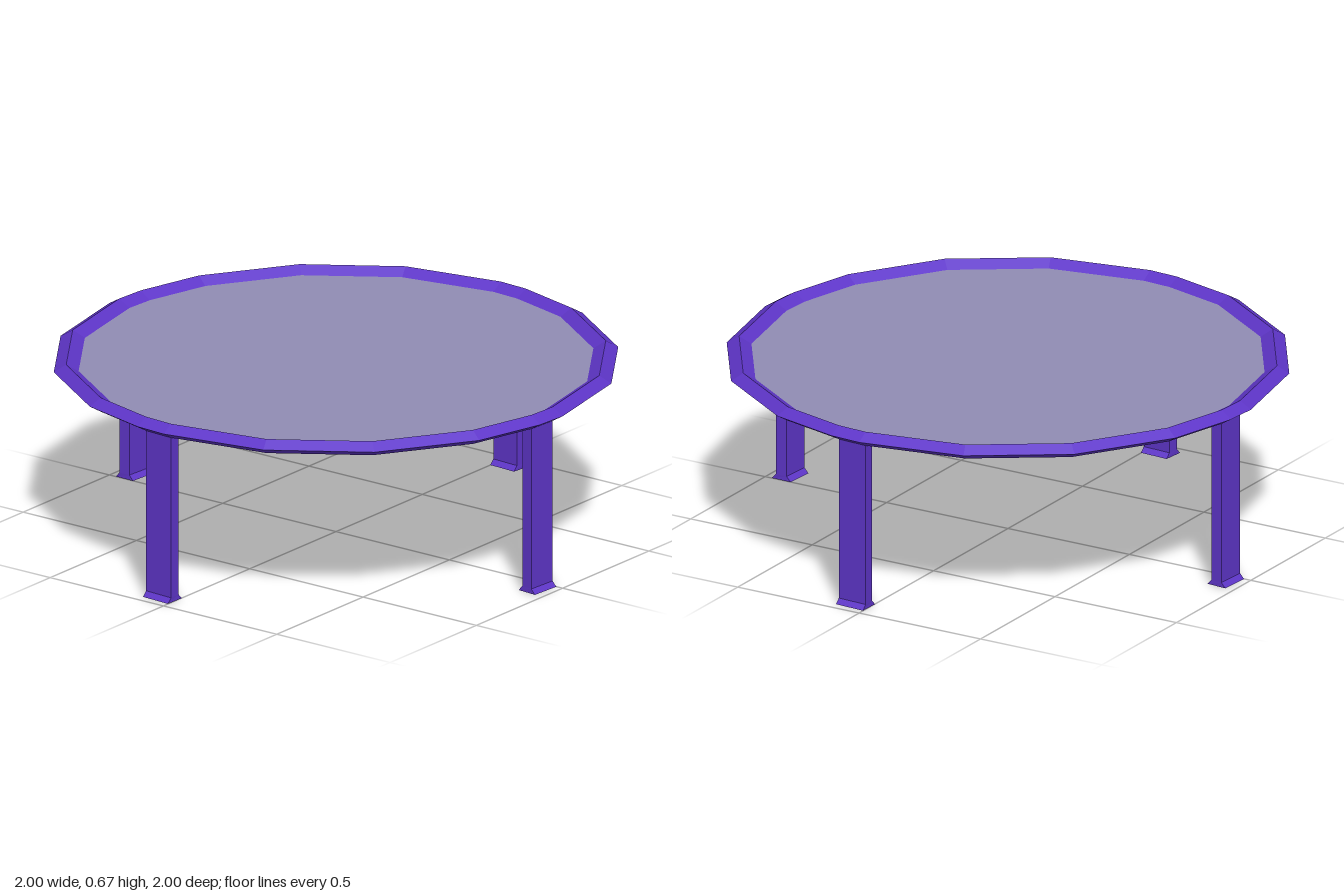
import * as THREE from 'three';

const purple = new THREE.MeshStandardMaterial({ color: 0x5e35c8, flatShading: true });
const grey = new THREE.MeshStandardMaterial({ color: 0x908cb4, flatShading: true, side: THREE.DoubleSide });

const LEG_ANGLE = THREE.MathUtils.degToRad(6.9); // arc taken up by one leg
const RIM_Y = 0.639, OUTER = 1, MIDDLE = 0.956, INNER = 0.912, HALF = 0.026;

const polar = (r, y, a) => new THREE.Vector3(r * Math.cos(a), y, r * Math.sin(a));

// Joins closed cross-sections with flat quads; optionally loops round or caps the last one
function loft(rows, { loop = false, capEnd = false } = {}) {
  const points = [];
  const quad = (a, b, c, d) => points.push(a, b, c, a, c, d);
  const count = loop ? rows.length : rows.length - 1;
  for (let i = 0; i < count; i++) {
    const p = rows[i], q = rows[(i + 1) % rows.length];
    for (let j = 0; j < p.length; j++) {
      const k = (j + 1) % p.length;
      quad(p[j], p[k], q[k], q[j]);
    }
  }
  if (capEnd) quad(...rows[rows.length - 1]);
  const geometry = new THREE.BufferGeometry().setFromPoints(points);
  geometry.computeVertexNormals();
  return geometry;
}

// Sixteen even corners, plus one extra beside each quarter where a leg joins
function rimAngles() {
  const angles = [];
  for (let i = 0; i < 16; i++) {
    const a = (i * Math.PI) / 8;
    angles.push(a);
    if (i % 4 === 0) angles.push(a + LEG_ANGLE);
  }
  return angles;
}

// Leg drops from the inner lower face of the rim and flares at the foot
function legGeometry() {
  const section = (rIn, rOut, yIn, yOut) => [
    polar(rOut, yOut, 0), polar(rOut, yOut, LEG_ANGLE),
    polar(rIn, yIn, LEG_ANGLE), polar(rIn, yIn, 0),
  ];
  const foot = section(INNER, MIDDLE, 0, 0);
  const outward = polar(0.017, 0, LEG_ANGLE / 2);
  foot.forEach((p, i) => (i < 2 ? p.add(outward) : p.sub(outward)));
  return loft([
    section(INNER, MIDDLE, RIM_Y, RIM_Y - HALF),
    section(INNER, MIDDLE, 0.018, 0.018),
    foot,
  ], { capEnd: true });
}

export function createModel() {
  const model = new THREE.Group();
  model.name = 'roundTable';
  const add = (name, geometry, material) => {
    const mesh = new THREE.Mesh(geometry, material);
    mesh.name = name;
    model.add(mesh);
    return mesh;
  };
  const angles = rimAngles();

  // Diamond-section rim
  const rows = angles.map((a) => [
    polar(OUTER, RIM_Y, a), polar(MIDDLE, RIM_Y + HALF, a),
    polar(INNER, RIM_Y, a), polar(MIDDLE, RIM_Y - HALF, a),
  ]);
  add('rim', loft(rows, { loop: true }), purple);

  // Thin flat top filling the rim
  const outline = angles.map((a) => new THREE.Vector2(INNER * Math.cos(a), INNER * Math.sin(a)));
  const top = new THREE.ShapeGeometry(new THREE.Shape(outline));
  top.rotateX(Math.PI / 2);
  top.translate(0, RIM_Y, 0);
  add('topPanel', top, grey);

  // Four legs, a quarter turn apart
  const leg = legGeometry();
  ['leftLeg', 'backLeg', 'rightLeg', 'frontLeg'].forEach((name, i) => {
    add(name, leg, purple).rotation.y = (i * Math.PI) / 2;
  });

  return model;
}
